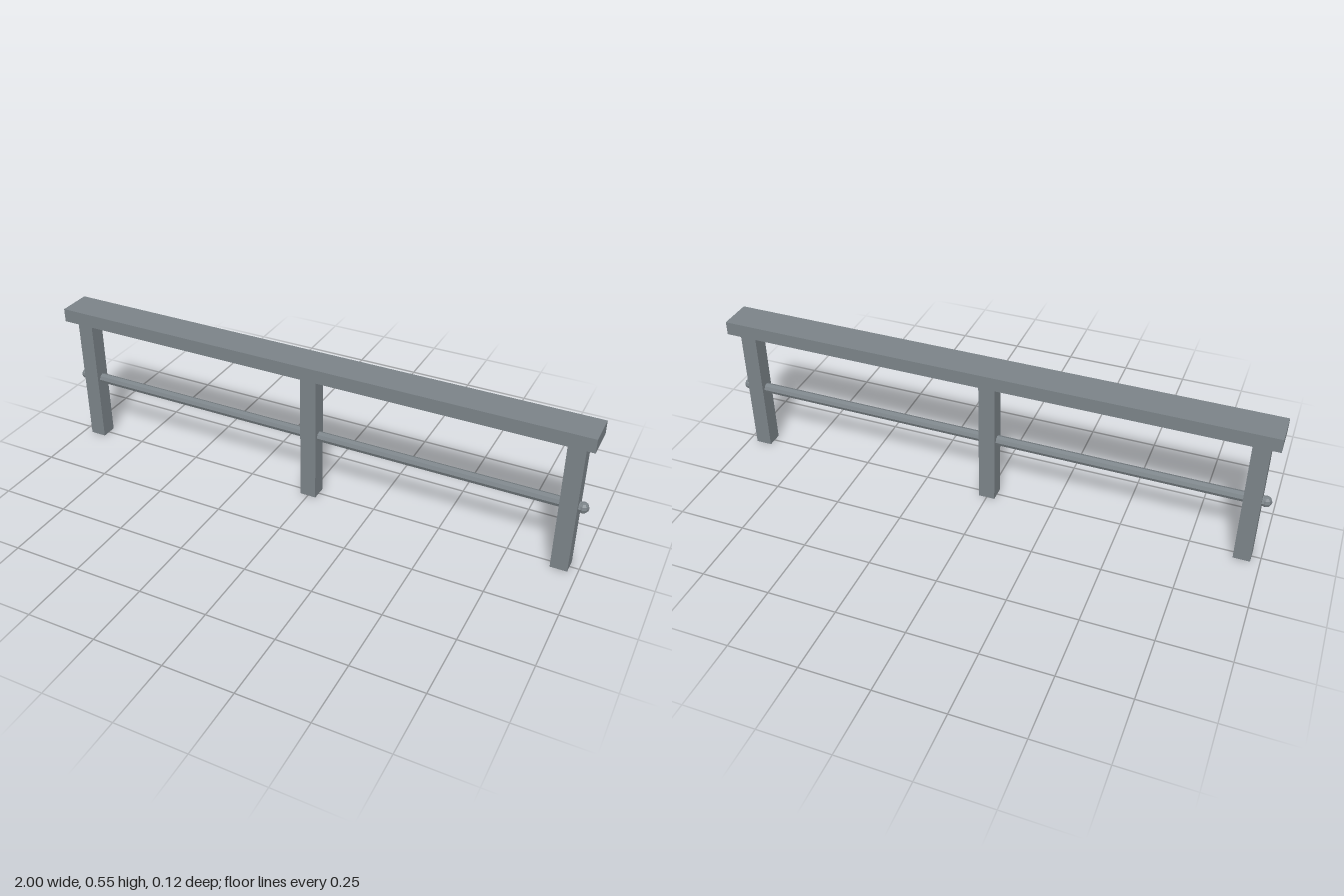
import * as THREE from 'three';

export function createModel() {
  const group = new THREE.Group();
  const steel = new THREE.MeshStandardMaterial({ color: 0x7b8388, flatShading: true });
  steel.name = 'greySteel';

  const add = (name, geometry, x, y) => {
    const mesh = new THREE.Mesh(geometry, steel);
    mesh.name = name;
    mesh.position.set(x, y, 0);
    group.add(mesh);
    return mesh;
  };

  // Flat top beam
  add('topBeam', new THREE.BoxGeometry(2, 0.05, 0.124), 0, 0.526);

  // Three square posts
  const post = new THREE.BoxGeometry(0.06, 0.501, 0.06);
  [['rightPost', -0.937], ['middlePost', 0], ['leftPost', 0.937]].forEach(([name, x]) =>
    add(name, post, x, 0.2505));

  // Eight-sided rail through the posts
  add('lowerRail', new THREE.CylinderGeometry(0.0185, 0.0185, 1.96, 8), 0, 0.25).rotation.z = Math.PI / 2;

  // Faceted end knobs
  const knob = new THREE.SphereGeometry(0.02, 8, 6);
  add('rightKnob', knob, -0.98, 0.25);
  add('leftKnob', knob, 0.98, 0.25);

  return group;
}
